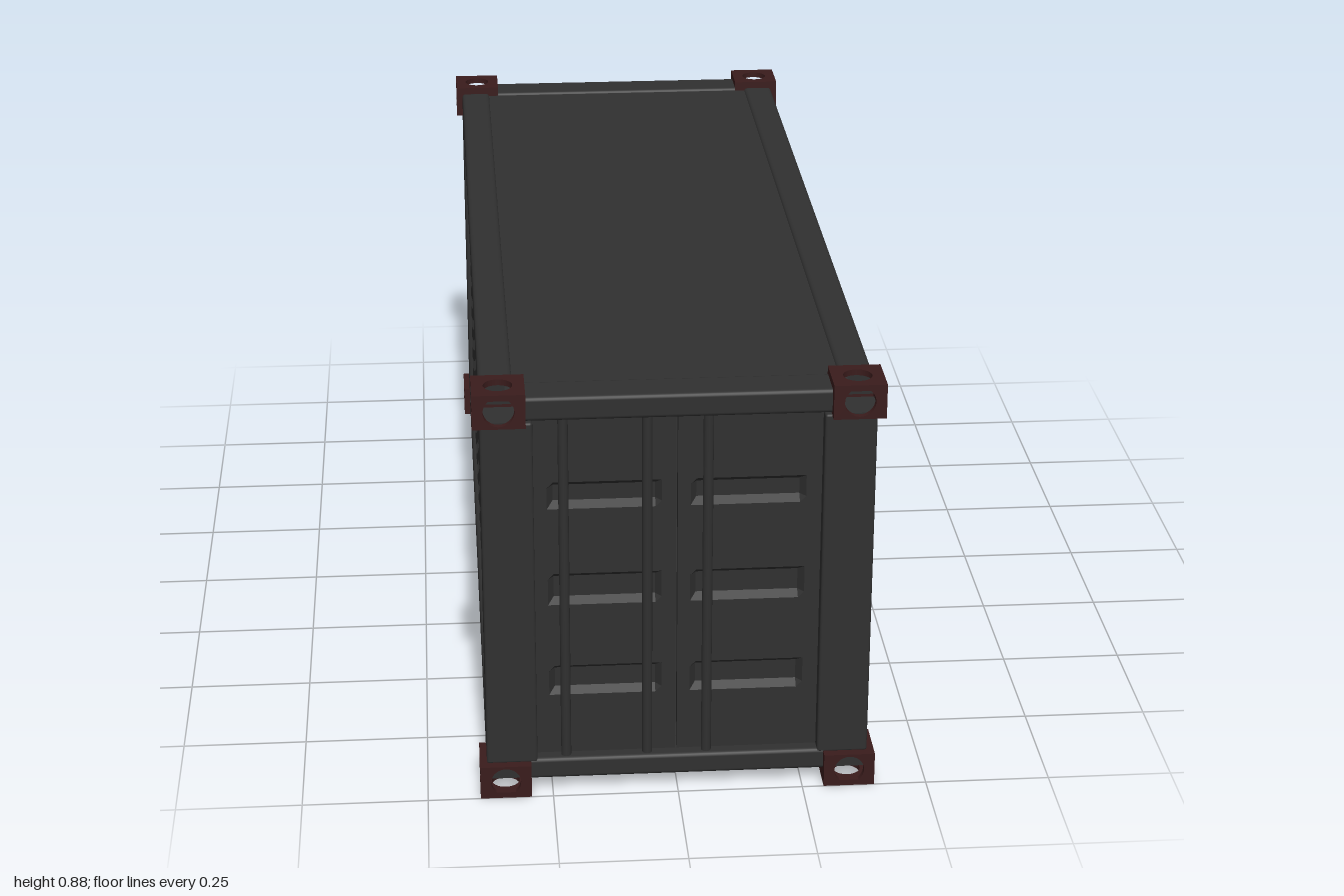
import * as THREE from 'three';
import { RoundedBoxGeometry } from 'three/addons/geometries/RoundedBoxGeometry.js';

const steel = new THREE.MeshStandardMaterial({ color: 0x303030 });
const casting = new THREE.MeshStandardMaterial({ color: 0x3a1c1c });

function add(parent, name, geometry, material, x = 0, y = 0, z = 0) {
  const mesh = new THREE.Mesh(geometry, material);
  mesh.name = name;
  mesh.position.set(x, y, z);
  parent.add(mesh);
  return mesh;
}

// Box given by its limits, with a small chamfer-like rounding when r > 0
function block(parent, name, [x0, x1], [y0, y1], [z0, z1], r = 0) {
  const size = [x1 - x0, y1 - y0, z1 - z0];
  const g = r ? new RoundedBoxGeometry(...size, 2, r) : new THREE.BoxGeometry(...size);
  return add(parent, name, g, steel, (x0 + x1) / 2, (y0 + y1) / 2, (z0 + z1) / 2);
}

const span = (s, a, b) => (s > 0 ? [a, b] : [-b, -a]);

function rectShape(x0, x1, y0, y1, Type = THREE.Shape) {
  const p = new Type();
  p.moveTo(x0, y0).lineTo(x1, y0).lineTo(x1, y1).lineTo(x0, y1).closePath();
  return p;
}

// Corrugated side wall: a trapezoid wave extruded upwards
function sideWall(s) {
  const outer = [], n = 15, period = 1.73 / n;
  for (let i = 0; i < n; i++) {
    const z = -0.865 + i * period;
    outer.push([0.345, z], [0.345, z + 0.018], [0.372, z + 0.036], [0.372, z + 0.097]);
  }
  outer.push([0.345, 0.865]);
  const inner = outer.map(([x, z]) => [x - 0.008, z]).reverse();
  const shape = new THREE.Shape([...outer, ...inner].map(([x, z]) => new THREE.Vector2(s * x, -z)));
  return new THREE.ExtrudeGeometry(shape, { depth: 0.76, bevelEnabled: false }).rotateX(-Math.PI / 2);
}

// Sunken panel: outer ring at the door face, sloping sides and a flat bottom
function recess(w, h, depth, slope) {
  const g = new THREE.PlaneGeometry(w, h, 3, 3);
  const p = g.attributes.position;
  for (let i = 0; i < p.count; i++) {
    const c = i % 4, r = Math.floor(i / 4);
    const x = [-w / 2, -w / 2 + slope, w / 2 - slope, w / 2][c];
    const y = [h / 2, h / 2 - slope, -h / 2 + slope, -h / 2][r];
    const sunk = c > 0 && c < 3 && r > 0 && r < 3;
    p.setXYZ(i, x, y, sunk ? -depth : 0);
  }
  const flat = g.toNonIndexed();
  flat.computeVertexNormals();
  return flat;
}

const panelRows = [[0.205, 0.27], [0.405, 0.473], [0.613, 0.67]];

// One end: a pair of doors with locking bars (the bars keep their x at both ends)
function doorEnd(s) {
  const end = new THREE.Group();
  end.name = s > 0 ? 'frontDoors' : 'backDoors';
  const face = 0.955, thick = 0.018;
  const doors = [
    { x: [-0.282, -0.003], panel: [-0.254, -0.031] },
    { x: [0.0, 0.282], panel: [0.025, 0.25] },
  ];
  for (const d of doors) {
    const [x0, x1] = span(s, ...d.x), [p0, p1] = span(s, ...d.panel);
    const shape = rectShape(x0, x1, 0.07, 0.815);
    for (const [y0, y1] of panelRows) {
      shape.holes.push(rectShape(p0, p1, y0, y1, THREE.Path));
      const pan = recess(p1 - p0, y1 - y0, 0.016, 0.012);
      add(end, 'doorRecess', pan, steel, (p0 + p1) / 2, (y0 + y1) / 2, face);
    }
    const g = new THREE.ExtrudeGeometry(shape, { depth: thick, bevelEnabled: false });
    add(end, 'door', g, steel, 0, 0, face - thick);
  }
  for (const x of [-0.222, -0.06, 0.058]) {
    add(end, 'lockingBar', new THREE.CylinderGeometry(0.01, 0.01, 0.742, 16), steel, s * x, 0.442, face + 0.009);
  }
  // sills and headers between the corner castings
  block(end, 'doorSill', [-0.3, 0.3], [0.03, 0.075], [0.9, 0.982], 0.008);
  block(end, 'doorHeader', [-0.3, 0.3], [0.811, 0.86], [0.9, 0.982], 0.008);
  if (s < 0) end.rotation.y = Math.PI;
  return end;
}

// Plate with a round hole, centred on the origin and facing z
function holedPlate(w, h, r, t) {
  const shape = rectShape(-w / 2, w / 2, -h / 2, h / 2);
  shape.holes.push(new THREE.Path().absarc(0, 0, r, 0, Math.PI * 2, true));
  const opts = { depth: t, bevelEnabled: false, curveSegments: 24 };
  return new THREE.ExtrudeGeometry(shape, opts).translate(0, 0, -t / 2);
}

// Hollow corner casting: three pierced outer faces, three closed inner faces
function cornerCasting(sx, sy, sz) {
  const c = new THREE.Group();
  c.name = 'cornerCasting';
  const W = 0.102, H = 0.07, D = 0.1, t = 0.012;
  const at = (size, s) => (s * (size - t)) / 2;
  add(c, 'endPlate', holedPlate(W, H, 0.03, t), casting, 0, 0, at(D, sz));
  add(c, 'sidePlate', holedPlate(D, H, 0.03, t).rotateY(Math.PI / 2), casting, at(W, sx), 0, 0);
  add(c, 'capPlate', holedPlate(W, D, 0.028, t).rotateX(Math.PI / 2), casting, 0, at(H, sy), 0);
  // closed faces, each with a steel lining on the inside
  const faces = [
    [[W, H, 0.004], [0, 0, -sz * (D / 2 - 0.002)]],
    [[0.004, H, D], [-sx * (W / 2 - 0.002), 0, 0]],
    [[W, 0.004, D], [0, -sy * (H / 2 - 0.002), 0]],
  ];
  for (const [size, pos] of faces) {
    add(c, 'innerPlate', new THREE.BoxGeometry(...size), casting, ...pos);
    const lining = size.map((v) => (v > 0.01 ? v - 2 * t : v));
    const inset = pos.map((v) => v - Math.sign(v) * 0.004);
    add(c, 'lining', new THREE.BoxGeometry(...lining), steel, ...inset);
  }
  c.position.set(sx * 0.344, sy > 0 ? 0.875 - H / 2 : H / 2, sz * 0.95);
  return c;
}

export function createModel() {
  const model = new THREE.Group();
  model.name = 'shippingContainer';

  block(model, 'floor', [-0.375, 0.375], [0.03, 0.05], [-0.975, 0.975]);
  block(model, 'roof', [-0.33, 0.33], [0.838, 0.854], [-0.93, 0.93]);

  for (const s of [1, -1]) {
    // long side: wall, bottom rail and top rail
    add(model, 'sideWall', sideWall(s), steel, 0, 0.065, 0);
    block(model, 'bottomRail', span(s, 0.315, 0.381), [0.03, 0.077], [-0.905, 0.905], 0.008);
    block(model, 'topRail', span(s, 0.315, 0.381), [0.815, 0.86], [-0.905, 0.905], 0.008);
    model.add(doorEnd(s));

    for (const sz of [1, -1]) {
      block(model, 'cornerPost', span(s, 0.28, 0.381), [0.068, 0.808], span(sz, 0.86, 0.982), 0.005);
      for (const sy of [1, -1]) model.add(cornerCasting(s, sy, sz));
    }
  }
  return model;
}
